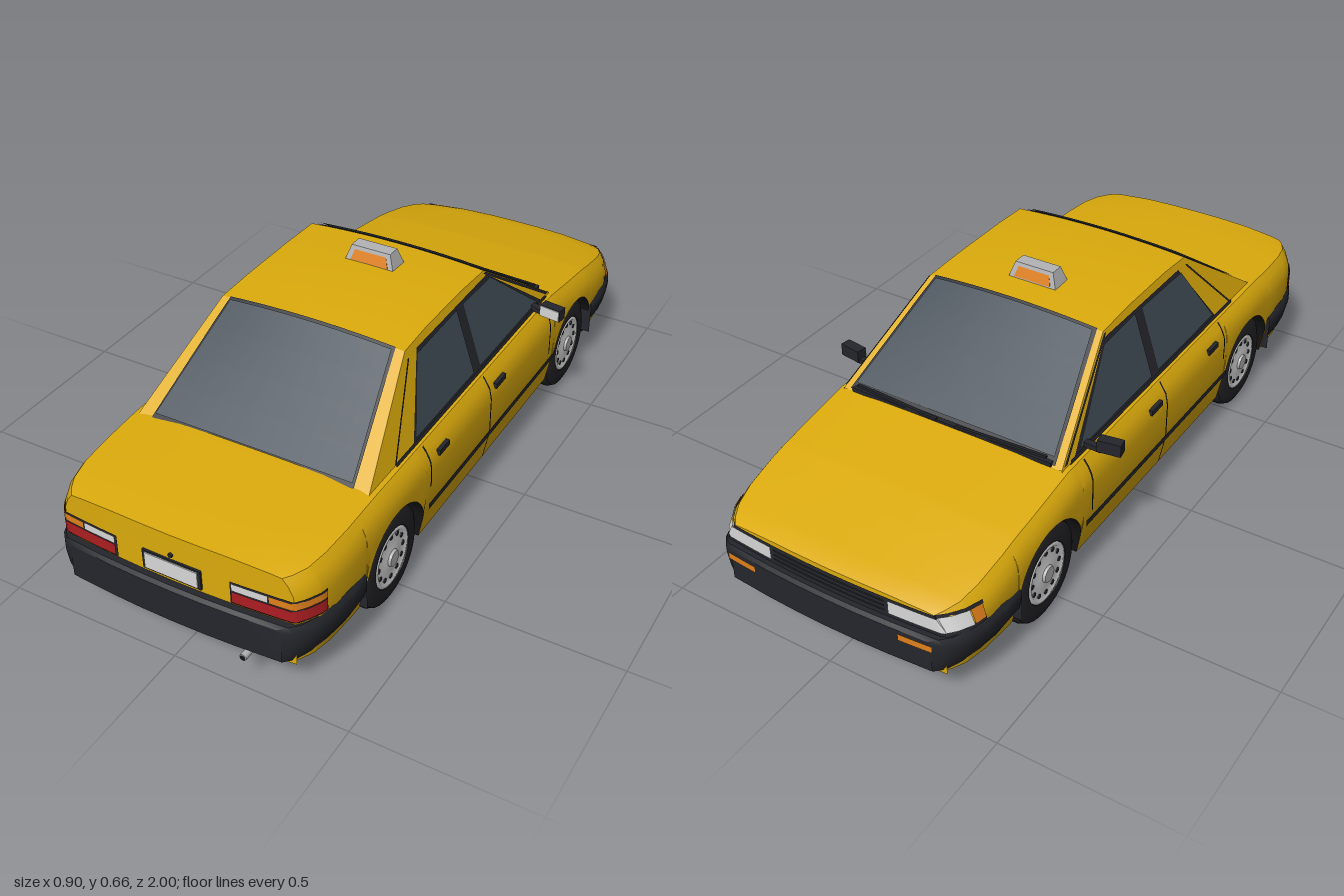
import * as THREE from 'three';
import { toCreasedNormals } from 'three/addons/utils/BufferGeometryUtils.js';

const { lerp, smoothstep } = THREE.MathUtils;
const R = 0.145, ARCH = 0.153, AXLES = [0.56, -0.575], END = 0.975;

// piecewise linear lookup in ascending [key, value] pairs
function interp(table, k) {
  if (k <= table[0][0]) return table[0][1];
  for (let i = 1; i < table.length; i++) {
    const [a, va] = table[i - 1], [b, vb] = table[i];
    if (k <= b) return lerp(va, vb, (k - a) / (b - a));
  }
  return table[table.length - 1][1];
}

// lower body outline: half width, deck height, wheel arches, side curvature
const WIDTH = [[0.6, 0.39], [0.75, 0.388], [0.85, 0.382], [0.92, 0.37], [0.955, 0.352], [END, 0.335]];
const DECK = [[-END, 0.29], [-0.95, 0.3], [-0.7, 0.354], [-0.45, 0.393], [0.62, 0.396], [0.85, 0.385], [END, 0.375]];
const halfWidth = z => interp(WIDTH, Math.abs(z));
const edgeY = z => interp(DECK, z) - 0.012;
function bodyX(y, z) {
  const d = edgeY(z) - y;
  return halfWidth(z) - 0.03 * Math.max(0, 1 - d / 0.07) ** 2 - 0.2 * Math.max(0, 0.2 - y);
}
function sillY(z) {
  let y = 0.1;
  for (const c of AXLES) {
    const q = ARCH ** 2 - (z - c) ** 2;
    if (q > 0) y = Math.max(y, R + Math.sqrt(q));
  }
  return y;
}
// bow of the two ends in plan
const bend = ([x, y, z]) => [x, y, z - Math.sign(z) * 0.15 * x * x * smoothstep(Math.abs(z), 0.8, 0.95)];

// cabin outline
const ROOF = [[-0.46, 0.385], [-0.14, 0.603], [0, 0.609], [0.2, 0.609], [0.32, 0.603], [0.63, 0.385]];
const cabinX = y => lerp(0.345, 0.275, (y - 0.39) / 0.215);
function roofY(f, z) {
  const h = interp(ROOF, z);
  return h + 0.012 * ((h - 0.385) / 0.22) * (1 - f * f);
}

// surface through a grid of points
function grid(rows, crease = 0.6) {
  const n = rows[0].length, index = [];
  for (let i = 0; i < rows.length - 1; i++)
    for (let j = 0; j < n - 1; j++) {
      const a = i * n + j, c = a + n;
      index.push(a, a + 1, c, a + 1, c + 1, c);
    }
  const g = new THREE.BufferGeometry();
  g.setAttribute('position', new THREE.Float32BufferAttribute(rows.flat(2), 3));
  g.setIndex(index);
  return toCreasedNormals(g, crease);
}
// loft closed at both ends by dropping the outline to its lowest line
function loft(rows) {
  const drop = row => { const y = Math.min(...row.map(p => p[1])); return row.map(p => [p[0], y, p[2]]); };
  return grid([drop(rows[0]), ...rows, drop(rows[rows.length - 1])].map(r => r.map(bend)));
}
const mirrorRow = half => [...half, ...half.slice(0, -1).reverse().map(([x, y, z]) => [-x, y, z])];
const steps = (a, b, n) => Array.from({ length: n + 1 }, (_, i) => lerp(a, b, i / n));

export function createModel() {
  const mat = (name, color) => {
    const m = new THREE.MeshStandardMaterial({ color, side: THREE.DoubleSide });
    m.name = name;
    return m;
  };
  const paint = mat('yellow paint', 0xdcab0c), glass = mat('window glass', 0x414b55);
  const trim = mat('dark trim', 0x25262c), under = mat('underside', 0x151517), rubber = mat('tyre rubber', 0x232327);
  const white = mat('white lens', 0xd8d8d8), red = mat('red lens', 0xac1e22), orange = mat('orange lens', 0xe0811c);
  const silver = mat('silver metal', 0xb4b4b6);

  const car = new THREE.Group();
  car.name = 'car';
  const add = (parent, name, geo, m, x = 0, y = 0, z = 0) => {
    const mesh = new THREE.Mesh(geo, m);
    mesh.name = name;
    mesh.position.set(x, y, z);
    parent.add(mesh);
    return mesh;
  };
  const box = (w, h, d) => new THREE.BoxGeometry(w, h, d);

  // lower body with arches cut into its sides
  const zs = [...steps(-END, END, 30), ...WIDTH.flatMap(([z]) => [z, -z])];
  for (const c of AXLES) {
    zs.push(c - ARCH - 0.001, c + ARCH + 0.001);
    for (const a of steps(0, Math.PI, 20)) zs.push(c + ARCH * Math.cos(a));
  }
  const stations = [...new Set(zs.map(z => +z.toFixed(4)))].sort((a, b) => a - b);
  add(car, 'body', loft(stations.map(z => {
    const e = edgeY(z), half = [0, 0.25, 0.5, 0.7, 0.82, 0.92, 1].map(t => {
      const y = lerp(sillY(z), e, t);
      return [bodyX(y, z), y, z];
    });
    const top = half[6][0];
    for (const f of [0.9, 0.6, 0.3, 0]) half.push([top * f, e + 0.012 * (1 - f ** 4), z]);
    return mirrorRow(half);
  })), paint);
  add(car, 'floor', grid(stations.map(z => {
    const y = sillY(z);
    return mirrorRow([[-bodyX(y, z), y, z], [-0.28, y, z], [-0.28, 0.1, z], [0, 0.1, z]]).map(bend);
  })), under);

  // cabin shell
  const cabinZ = [-0.46, -0.3, -0.14, -0.07, 0, 0.1, 0.2, 0.26, 0.32, 0.47, 0.63];
  add(car, 'cabin', grid(cabinZ.map(z => {
    const h = interp(ROOF, z), x = cabinX(h);
    return mirrorRow([[cabinX(0.38), 0.38, z], ...[1, 0.8, 0.6, 0.4, 0.2, 0].map(f => [x * f, roofY(f, z), z])]);
  }), 0.5), paint);

  // windscreen and rear window, each on a dark surround
  const screen = (name, m, zLow, zHigh, wLow, wHigh, lift) => add(car, name, grid(steps(0, 1, 4).map(t => {
    const z = lerp(zLow, zHigh, t), w = lerp(wLow, wHigh, t), x = cabinX(interp(ROOF, z));
    return steps(-w, w, 12).map(px => [px, roofY(px / x, z) + lift, z + Math.sign(zLow) * lift * 0.7]);
  })), m);
  screen('rear window surround', trim, 0.628, 0.318, 0.303, 0.25, 0.003);
  screen('rear window', glass, 0.618, 0.327, 0.296, 0.244, 0.006);
  screen('windscreen surround', trim, -0.455, -0.137, 0.325, 0.258, 0.003);
  screen('windscreen', glass, -0.438, -0.146, 0.314, 0.25, 0.006);

  // bumpers
  for (const [name, s, top] of [['rearBumper', 1, 0.23], ['frontBumper', -1, 0.222]]) {
    const rows = [[0.722, 0.393], [0.8, 0.395], [0.87, 0.388], [0.93, 0.376], [0.97, 0.358], [0.992, 0.335], [1, 0.31]].map(([d, w]) => {
      const z = s * d, in2 = d === 1 ? 0.01 : 0;
      const half = [[0, 0.11 + in2], [w - 0.03, 0.11 + in2], [w - 0.008, 0.15], [w, 0.185], [w, top - 0.015], [w - 0.01, top - in2],
        [w * 0.6, top - in2], [w * 0.3, top - in2], [0, top - in2]].map(([x, y]) => [x, y, z]);
      return mirrorRow(half);
    });
    add(car, name, loft(s > 0 ? rows : rows.reverse()), trim);
  }

  // everything that exists once on each side
  for (const s of [1, -1]) {
    const side = new THREE.Group();
    side.name = s > 0 ? 'leftSide' : 'rightSide';
    side.scale.x = s;
    car.add(side);

    // thin band around an end of the body, from x0 to x1, then along the flank from zA to zB
    const band = (name, m, dir, y0, y1, x0, x1, zA, zB, off = 0.006) => {
      const rows = [y0, y1].map(y => {
        const pts = [];
        if (x1) for (const x of steps(x0, x1, 5)) pts.push([Math.min(x, bodyX(y, dir * END) + off), y, dir * (END + off)]);
        if (zB) for (const z of steps(zA, zB, 6)) pts.push([bodyX(y, dir * z) + off, y, dir * z]);
        return pts.map(bend);
      });
      add(side, name, grid(rows), m);
    };
    band('tailLampSurround', trim, 1, 0.235, 0.302, 0.165, 0.33, END, 0.895, 0.003);
    band('tailLampRed', red, 1, 0.24, 0.274, 0.17, 0.33, END, 0.9);
    band('tailLampOrange', orange, 1, 0.277, 0.299, 0.27, 0.33, END, 0.9);
    band('reversingLamp', white, 1, 0.277, 0.299, 0.17, 0.268);
    band('headlampSurround', trim, -1, 0.222, 0.28, 0, 0.325, END, 0.865, 0.003);
    band('headlamp', white, -1, 0.234, 0.274, 0.18, 0.325, END, 0.915);
    band('cornerLamp', orange, -1, 0.234, 0.274, 0, 0, 0.912, 0.872);
    band('frontIndicator', orange, -1, 0.185, 0.205, 0.22, 0.315, 0, 0, 0.029);
    for (const y of [0.238, 0.252, 0.266]) band('grilleBar', rubber, -1, y, y + 0.006, 0, 0.17);

    // four-cornered patch laid on the cabin or the body flank, corners as [z, y]
    const patch = (name, m, [a, b, c, d], lift, onBody) => add(side, name, grid(steps(0, 1, 8).map(v => steps(0, 1, 8).map(u => {
      const z = lerp(lerp(a[0], b[0], u), lerp(d[0], c[0], u), v), y = lerp(lerp(a[1], b[1], u), lerp(d[1], c[1], u), v);
      return [(onBody ? bodyX(y, z) : cabinX(y)) + lift, y, z];
    }))), m);
    const strip = (name, z0, z1, y0, y1, lift = 0.003) => patch(name, trim, [[z0, y0], [z1, y0], [z1, y1], [z0, y1]], lift, true);
    patch('sideWindowSurround', trim, [[0.4, 0.39], [-0.4, 0.39], [-0.145, 0.59], [0.27, 0.588]], 0.003);
    patch('rearSideWindow', glass, [[0.385, 0.4], [0.05, 0.4], [0.05, 0.582], [0.277, 0.578]], 0.006);
    patch('frontSideWindow', glass, [[0.012, 0.4], [-0.37, 0.4], [-0.155, 0.578], [0.012, 0.582]], 0.006);
    patch('beltTrim', trim, [[0.5, 0.386], [-0.43, 0.386], [-0.42, 0.396], [0.5, 0.396]], 0.007);
    patch('rearPillarTrim', trim, [[0.5, 0.39], [0.492, 0.39], [0.312, 0.584], [0.32, 0.584]], 0.003);
    patch('windscreenPillarTrim', trim, [[-0.435, 0.39], [-0.45, 0.39], [-0.142, 0.599], [-0.13, 0.599]], 0.003);
    strip('rubbingStrip', 0.403, -0.418, 0.196, 0.215, 0.007);
    strip('rearDoorSeam', 0.388, 0.382, 0.26, 0.38);
    strip('centreDoorSeam', 0.03, 0.024, 0.11, 0.38);
    strip('frontDoorSeam', -0.378, -0.384, 0.225, 0.38);
    add(side, 'rearDoorHandle', box(0.012, 0.016, 0.055), trim, 0.388, 0.337, 0.312);
    add(side, 'frontDoorHandle', box(0.012, 0.016, 0.06), trim, 0.388, 0.337, -0.034);

    // door mirror
    const mirror = new THREE.Group();
    mirror.name = 'doorMirror';
    mirror.position.set(0.413, 0.408, -0.33);
    mirror.rotation.y = -0.15;
    side.add(mirror);
    add(mirror, 'mirrorHousing', box(0.066, 0.036, 0.03), trim);
    add(mirror, 'mirrorFace', box(0.062, 0.032, 0.004), white, 0, 0, 0.016);
    add(mirror, 'mirrorArm', box(0.06, 0.014, 0.02), trim, -0.052, -0.011, -0.002).rotation.z = -0.15;

    // wheels
    for (const z of AXLES) {
      const wheel = new THREE.Group();
      wheel.name = z > 0 ? 'rearWheel' : 'frontWheel';
      wheel.position.set(0.333, R, z);
      wheel.rotation.z = -Math.PI / 2;
      side.add(wheel);
      const tyre = [[0, -0.043], [0.12, -0.043], [0.138, -0.034], [R, -0.018], [R, 0.018], [0.138, 0.034], [0.12, 0.043], [0.088, 0.043], [0.083, 0.03], [0, 0.03]];
      add(wheel, 'tyre', toCreasedNormals(new THREE.LatheGeometry(tyre.map(p => new THREE.Vector2(...p)), 32), 0.6), rubber);
      const rim = [[0.086, 0.03], [0.086, 0.041], [0.076, 0.043], [0.068, 0.036], [0.035, 0.042], [0, 0.044]];
      add(wheel, 'rim', new THREE.LatheGeometry(rim.map(p => new THREE.Vector2(...p)), 32), white);
      add(wheel, 'hubCap', new THREE.CylinderGeometry(0.022, 0.026, 0.012, 16), silver, 0, 0.044, 0);
      for (let i = 0; i < 12; i++) {
        const a = i * Math.PI / 6;
        add(wheel, 'rimSlot', new THREE.CylinderGeometry(0.007, 0.007, 0.006, 8), trim, 0.064 * Math.cos(a), 0.037, 0.064 * Math.sin(a));
      }
    }
  }

  // roof sign: tapered light box with orange faces
  const sign = new THREE.Group();
  sign.name = 'roofSign';
  sign.position.set(0, 0.641, -0.018);
  car.add(sign);
  const taper = g => {
    const p = g.attributes.position;
    for (let i = 0; i < p.count; i++) if (p.getY(i) > 0) p.setXYZ(i, p.getX(i) * 0.8, p.getY(i), p.getZ(i) * 0.62);
    g.computeVertexNormals();
    return g;
  };
  add(sign, 'signBox', taper(box(0.15, 0.044, 0.064)), silver);
  add(sign, 'signFaces', taper(box(0.116, 0.036, 0.066)), orange);

  // plate, lock, exhaust and wipers
  add(car, 'plateFrame', box(0.17, 0.058, 0.008), trim, 0, 0.27, 0.976);
  add(car, 'numberPlate', box(0.154, 0.048, 0.008), white, 0, 0.27, 0.979);
  add(car, 'bootLock', new THREE.CylinderGeometry(0.006, 0.006, 0.008, 12), trim, 0, 0.314, 0.977).rotation.x = Math.PI / 2;
  add(car, 'exhaustPipe', new THREE.CylinderGeometry(0.01, 0.01, 0.16, 12), silver, 0.208, 0.097, 0.92).rotation.x = Math.PI / 2;
  add(car, 'exhaustOpening', new THREE.CircleGeometry(0.008, 12), under, 0.208, 0.097, 1.001);
  for (const x of [-0.16, 0.17]) add(car, 'wiper', box(0.27, 0.007, 0.008), trim, x, 0.402, -0.456).rotation.y = 0.06 * Math.sign(-x);
  add(car, 'cowl', box(0.63, 0.012, 0.02), trim, 0, 0.392, -0.452);
  return car;
}
